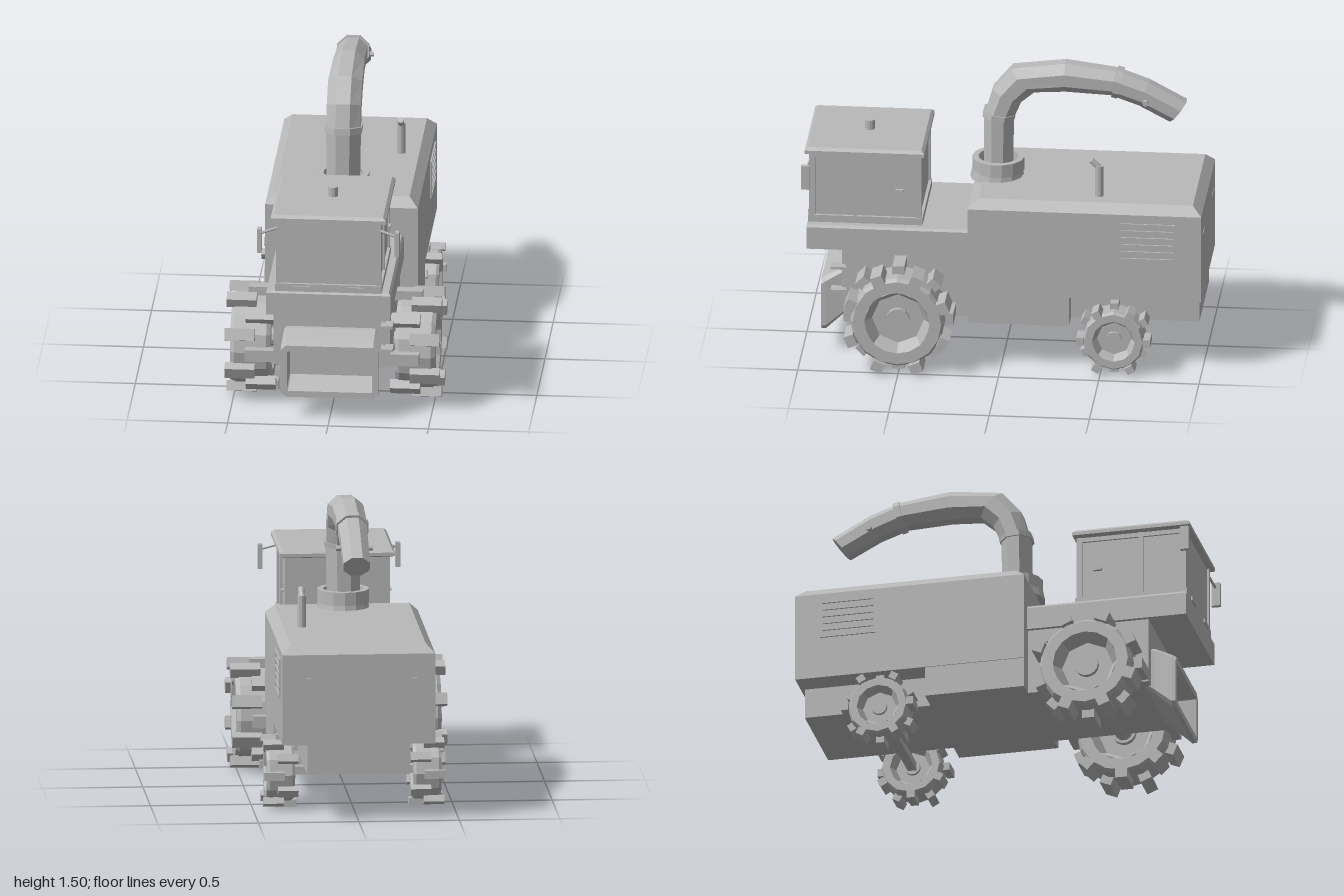
import * as THREE from 'three';

const grey = new THREE.MeshStandardMaterial({ color: 0xb8b8b8, flatShading: true, side: THREE.DoubleSide });
grey.name = 'plain grey';

function add(parent, name, geo, x = 0, y = 0, z = 0) {
  const m = new THREE.Mesh(geo, grey);
  m.name = name;
  m.position.set(x, y, z);
  parent.add(m);
  return m;
}

// box given by its limits on each axis
function block(parent, name, x0, x1, y0, y1, z0, z1) {
  return add(parent, name, new THREE.BoxGeometry(x1 - x0, y1 - y0, z1 - z0),
    (x0 + x1) / 2, (y0 + y1) / 2, (z0 + z1) / 2);
}

function rod(parent, name, a, b, r, sides = 8) {
  const p = new THREE.Vector3(...a), d = new THREE.Vector3(...b).sub(p);
  const m = add(parent, name, new THREE.CylinderGeometry(r, r, d.length(), sides));
  m.position.copy(p).addScaledVector(d, 0.5);
  m.quaternion.setFromUnitVectors(new THREE.Vector3(0, 1, 0), d.normalize());
  return m;
}

// skin over rings of points, closed at both ends
function loft(rings) {
  const n = rings[0].length, idx = [];
  for (let r = 0; r < rings.length - 1; r++)
    for (let i = 0; i < n; i++) {
      const j = (i + 1) % n, a = r * n, b = a + n;
      idx.push(a + i, a + j, b + j, a + i, b + j, b + i);
    }
  const e = (rings.length - 1) * n;
  for (let i = 1; i < n - 1; i++) idx.push(0, i + 1, i, e, e + i, e + i + 1);
  const g = new THREE.BufferGeometry();
  g.setAttribute('position', new THREE.Float32BufferAttribute(rings.flat(2), 3));
  g.setIndex(idx);
  g.computeVertexNormals();
  return g;
}

// stacked rectangles: each level is [y, halfWidth, zBack, zFront]
const stack = (levels) => loft(levels.map(([y, w, b, f]) =>
  [[-w, y, b], [-w, y, f], [w, y, f], [w, y, b]]));

// rectangle with cut corners facing +z
const frame = (z, w, y0, y1, c) => [[-w + c, y0, z], [w - c, y0, z], [w, y0 + c, z], [w, y1 - c, z],
  [w - c, y1, z], [-w + c, y1, z], [-w, y1 - c, z], [-w, y0 + c, z]];

function wheel(parent, name, side, x, z, R, r, width, lugLength, lugs) {
  const g = new THREE.Group();
  g.name = name;
  const spin = new THREE.Group();
  spin.rotation.z = -Math.PI / 2;
  g.add(spin);
  const pts = (list) => list.map(([a, b]) => new THREE.Vector2(a, b));
  const h = width / 2, hole = r * 0.69, deep = h * 0.35;
  add(spin, 'tyre', new THREE.LatheGeometry(pts([[hole, -h], [r * 0.94, -h], [r, -h * 0.8],
    [r, h * 0.8], [r * 0.94, h], [hole, h]]), lugs));
  add(spin, 'rim', new THREE.LatheGeometry(pts([[0, -deep], [hole * 0.8, -deep], [hole * 1.05, -h],
    [hole * 1.05, h], [hole * 0.8, deep], [0, deep]]), 8));
  add(spin, 'hub', new THREE.CylinderGeometry(r * 0.25, r * 0.25, deep * 2 + h * 0.5, 14));
  // tread lugs alternate between the two edges
  for (let i = 0; i < lugs; i++) {
    const a = (i / lugs) * Math.PI * 2, mid = (r * 0.95 + R) / 2;
    const off = (i % 2 ? 1 : -1) * (lugLength * 0.34);
    const lug = add(spin, 'treadLug', new THREE.BoxGeometry(R - r * 0.95, lugLength, R * 0.22),
      Math.cos(a) * mid, off, -Math.sin(a) * mid);
    lug.rotation.y = a;
  }
  g.position.set(side * x, R, z);
  if (side < 0) g.rotation.y = Math.PI;
  parent.add(g);
}

// spout cross-section: [z, y, direction in degrees from up towards the back, halfWidth, halfHeight]
function spoutRing([z, y, deg, w, h], grow = 0) {
  const t = deg * Math.PI / 180, dy = Math.cos(t), dz = -Math.sin(t), ring = [];
  for (let i = 0; i < 8; i++) {
    const a = (i + 0.5) / 8 * Math.PI * 2;
    const u = Math.cos(a) * (w + grow) * 1.08, v = Math.sin(a) * (h + grow) * 1.08;
    ring.push([u, y + dz * v, z - dy * v]);
  }
  return ring;
}

export function createModel() {
  const model = new THREE.Group();
  model.name = 'forageHarvester';

  // rear body and chassis
  add(model, 'rearBody', stack([[0.39, 0.38, -1, 0.165], [0.845, 0.38, -1, 0.165], [0.89, 0.335, -0.955, 0.115]]));
  block(model, 'rearChassis', -0.255, 0.255, 0.235, 0.39, -0.98, -0.3);
  block(model, 'middleChassis', -0.375, 0.375, 0.235, 0.39, -0.34, 0.165);
  block(model, 'frontChassis', -0.29, 0.29, 0.235, 0.575, 0.16, 0.78);
  add(model, 'platform', stack([[0.575, 0.31, 0.16, 0.975], [0.69, 0.31, 0.16, 0.975], [0.703, 0.3, 0.16, 0.965]]));
  for (const s of [-1, 1]) {
    // side grille: a frame with slats
    const x0 = s * 0.383;
    for (let i = 0; i < 6; i++) block(model, 'grilleSlat', x0 - 0.005, x0 + 0.005, 0.605 + i * 0.037, 0.615 + i * 0.037, -0.87, -0.59);
    for (const z of [-0.87, -0.6]) block(model, 'grilleEdge', x0 - 0.005, x0 + 0.005, 0.605, 0.8, z, z + 0.01);
    block(model, 'rearMark', s * 0.25 - 0.045, s * 0.25 + 0.045, 0.72, 0.726, -1.002, -0.998);
  }

  // cab
  block(model, 'cabBase', -0.265, 0.265, 0.7, 0.74, 0.4, 0.97);
  block(model, 'cabWindows', -0.25, 0.25, 0.74, 1.075, 0.415, 0.955);
  for (const s of [-1, 1]) {
    for (const [z0, z1] of [[0.405, 0.435], [0.725, 0.745], [0.935, 0.965]])
      block(model, 'cabPost', s * 0.248 - 0.014, s * 0.248 + 0.014, 0.74, 1.075, z0, z1);
    block(model, 'doorTopRail', s * 0.248 - 0.012, s * 0.248 + 0.012, 1.045, 1.075, 0.41, 0.96);
    block(model, 'doorHandle', s * 0.267 - 0.008, s * 0.267 + 0.008, 0.88, 0.892, 0.495, 0.535);
    block(model, 'stepPlate', s * 0.135 - 0.043, s * 0.135 + 0.043, 0.71, 0.73, 0.965, 0.978);
    // mirror on its arm
    rod(model, 'mirrorArm', [s * 0.25, 1.035, 0.96], [s * 0.335, 1.01, 0.975], 0.007, 6);
    block(model, 'mirror', s * 0.343 - 0.011, s * 0.343 + 0.011, 0.91, 1.035, 0.955, 0.998);
  }
  add(model, 'roof', stack([[1.068, 0.26, 0.41, 0.96], [1.075, 0.287, 0.39, 0.985],
    [1.092, 0.287, 0.39, 0.985], [1.106, 0.272, 0.405, 0.97]]));
  rod(model, 'beacon', [0, 1.1, 0.685], [0, 1.155, 0.685], 0.025, 12);

  // crop intake: flared box with a recessed mouth
  add(model, 'intake', loft([frame(0.74, 0.235, 0.24, 0.445, 0.015), frame(0.8, 0.235, 0.195, 0.44, 0.015),
    frame(0.885, 0.243, 0.113, 0.4, 0.025), frame(0.907, 0.243, 0.113, 0.385, 0.025),
    frame(0.907, 0.212, 0.145, 0.355, 0.005), frame(0.815, 0.205, 0.2, 0.35, 0.005)]));

  // access steps
  block(model, 'stepRail', 0.255, 0.27, 0.33, 0.575, 0.78, 0.8);
  for (const y of [0.345, 0.468]) block(model, 'step', 0.25, 0.31, y, y + 0.014, 0.775, 0.855);

  // wheels and axles
  for (const s of [-1, 1]) {
    wheel(model, 'frontWheel', s, 0.41, 0.505, 0.274, 0.235, 0.2, 0.149, 16);
    wheel(model, 'rearWheel', s, 0.365, -0.567, 0.184, 0.155, 0.14, 0.102, 12);
  }
  rod(model, 'frontAxle', [-0.4, 0.274, 0.505], [0.4, 0.274, 0.505], 0.045, 10);
  block(model, 'rearAxle', -0.35, 0.35, 0.165, 0.205, -0.59, -0.545);
  block(model, 'axleMount', -0.06, 0.06, 0.19, 0.24, -0.61, -0.525);

  // turntable
  add(model, 'turntableBase', new THREE.CylinderGeometry(0.125, 0.135, 0.05, 14), 0, 0.9, 0.05);
  add(model, 'turntableRing', new THREE.LatheGeometry([[0.1, 0.91], [0.13, 0.915], [0.13, 0.982],
    [0.1, 0.982], [0.1, 0.92]].map(p => new THREE.Vector2(...p)), 14), 0, 0, 0.045);

  // curved discharge spout
  const path = [[0.045, 0.9, 0, 0.08, 0.07], [0.042, 1.2, 6, 0.085, 0.072], [0.0, 1.32, 24, 0.085, 0.078],
    [-0.08, 1.405, 48, 0.085, 0.083], [-0.29, 1.427, 90, 0.078, 0.075], [-0.53, 1.405, 103, 0.073, 0.066],
    [-0.68, 1.352, 113, 0.068, 0.066], [-0.853, 1.26, 128, 0.066, 0.066]];
  add(model, 'spout', loft(path.map(p => spoutRing(p))));
  for (const [a, b] of [
    [[0.042, 1.2, 4, 0.085, 0.072], [0.037, 1.228, 8, 0.085, 0.073]],
    [[-0.535, 1.404, 103, 0.073, 0.066], [-0.565, 1.396, 105, 0.072, 0.066]],
  ]) add(model, 'spoutCollar', loft([spoutRing(a, 0.008), spoutRing(b, 0.008)]));
  rod(model, 'spoutPivot', [-0.092, 1.325, -0.695], [0.092, 1.325, -0.695], 0.014, 8);

  // exhaust
  rod(model, 'exhaustPipe', [0.245, 0.88, -0.48], [0.245, 1.05, -0.48], 0.022, 10);
  rod(model, 'exhaustTip', [0.245, 1.035, -0.485], [0.245, 1.078, -0.44], 0.016, 10);

  return model;
}
